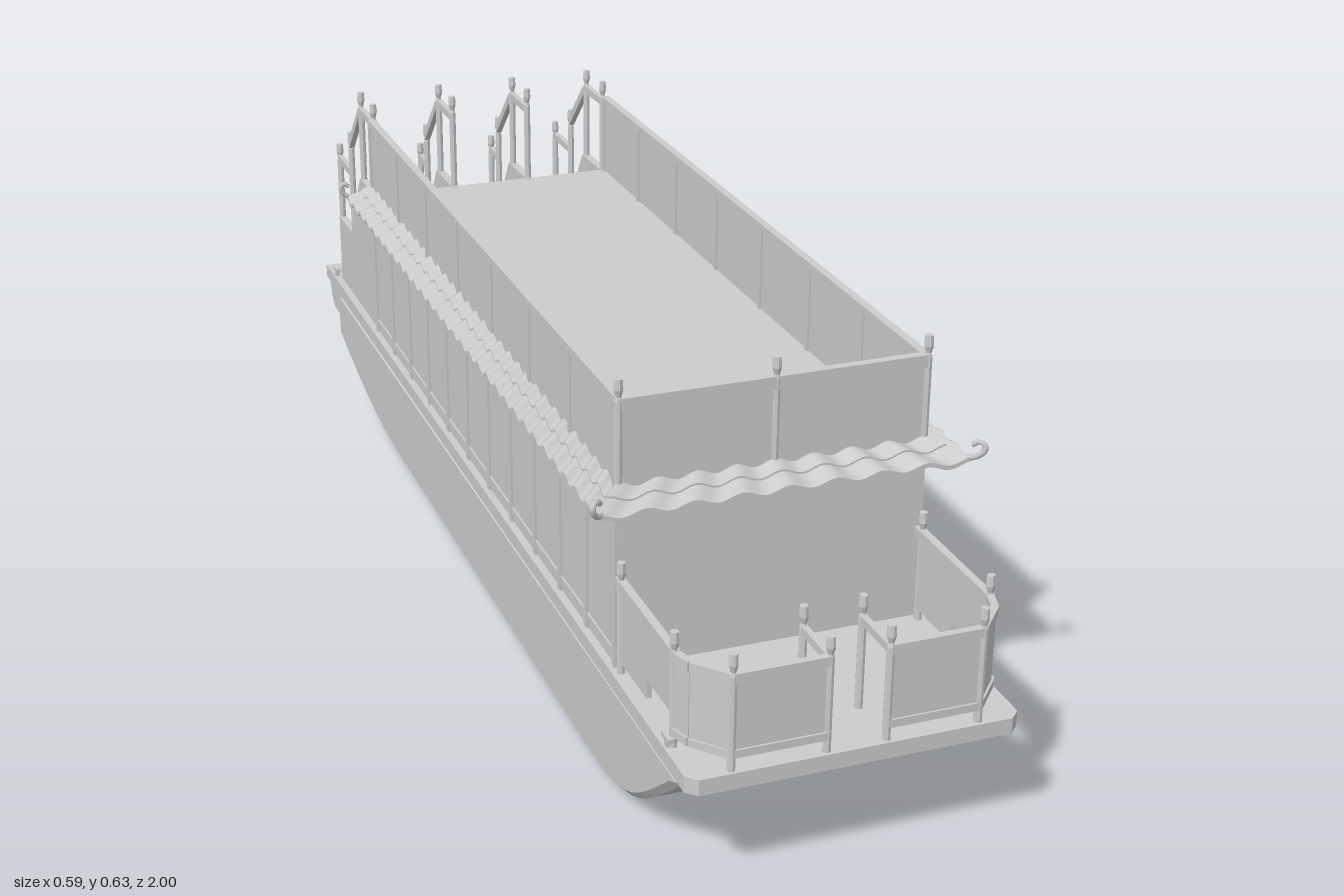
import * as THREE from 'three';

const flat = new THREE.MeshStandardMaterial({ color: 0xcccccc, flatShading: true });
const smooth = new THREE.MeshStandardMaterial({ color: 0xcccccc });

export function createModel() {
  const model = new THREE.Group();
  const add = (name, geo, mat = flat) => {
    const m = new THREE.Mesh(geo, mat);
    m.name = name;
    model.add(m);
    return m;
  };
  // box from its min and max corners
  const box = (name, x0, x1, y0, y1, z0, z1) =>
    add(name, new THREE.BoxGeometry(Math.abs(x1 - x0), y1 - y0, Math.abs(z1 - z0))
      .translate((x0 + x1) / 2, (y0 + y1) / 2, (z0 + z1) / 2));
  const shapeOf = pts => new THREE.Shape(pts.map(p => new THREE.Vector2(p[0], p[1])));
  // (z, y) profile extruded across x, centred on x = cx
  const side = (name, shape, cx, width, bevel = 0) =>
    add(name, new THREE.ExtrudeGeometry(shape, {
      depth: width - 2 * bevel, bevelEnabled: bevel > 0, bevelSize: bevel, bevelThickness: bevel,
      bevelOffset: -bevel, bevelSegments: 1, curveSegments: 10,
    }).rotateY(-Math.PI / 2).translate(cx + width / 2 - bevel, 0, 0));
  // square bar between two points
  const bar = (name, a, b, w, h) => {
    const A = new THREE.Vector3(...a), B = new THREE.Vector3(...b);
    const m = add(name, new THREE.BoxGeometry(w, h, A.distanceTo(B)));
    m.position.copy(A).add(B).multiplyScalar(0.5);
    m.lookAt(B);
    return m;
  };
  // post with a flared finial
  const post = (name, x, y0, y1, z) => {
    const h = y1 - y0;
    const pts = [[0, 0], [0.006, 0], [0.006, h - 0.032], [0.004, h - 0.026], [0.007, h - 0.016], [0.006, h], [0, h]];
    add(name, new THREE.LatheGeometry(pts.map(p => new THREE.Vector2(...p)), 8).translate(x, y0, z));
  };

  // hull with curved bow and rising stern
  const hull = new THREE.Shape();
  hull.moveTo(0.97, 0.168);
  hull.bezierCurveTo(0.86, 0.085, 0.8, 0.006, 0.66, 0.002);
  hull.lineTo(0.6, 0);
  hull.lineTo(-0.5, 0);
  hull.quadraticCurveTo(-0.7, 0.012, -0.9, 0.075);
  hull.lineTo(-0.905, 0.168);
  side('hull', hull, 0, 0.482, 0.01);
  const sternBlock = [[-0.88, 0.168], [-0.88, 0.085], [-0.9, 0.08], [-0.905, 0.12], [-0.945, 0.122], [-0.965, 0.14], [-0.975, 0.168]];
  for (const [x, w] of [[0, 0.16], [0.21, 0.06], [-0.21, 0.06]]) side('sternBlock', shapeOf(sternBlock), x, w);

  // deck slab with two notches at the stern (shape y is -z)
  const half = [[0.08, 1], [0.08, 0.905], [0.175, 0.905], [0.175, 1], [0.241, 1], [0.241, -0.985], [0.226, -1]];
  const outline = [...half, ...half.map(([x, y]) => [-x, y]).reverse()];
  add('deck', new THREE.ExtrudeGeometry(shapeOf(outline.reverse()), { depth: 0.024, bevelEnabled: false })
    .rotateX(-Math.PI / 2).translate(0, 0.166, 0));

  // cabin and upper deck parapet
  box('cabin', -0.229, 0.229, 0.188, 0.456, -0.63, 0.7);
  box('frontParapet', -0.229, 0.229, 0.455, 0.598, 0.692, 0.7);
  box('frontParapetRail', -0.23, 0.23, 0.58, 0.6, 0.69, 0.703);
  for (const x of [-0.228, 0, 0.228]) post('parapetPost', x, 0.455, 0.628, 0.698);

  const outerRail = [[-0.63, 0.59], [-0.725, 0.59], [-0.82, 0.495], [-0.82, 0.44], [-0.915, 0.44]];
  for (const s of [-1, 1]) {
    box('sideParapet', s * 0.222, s * 0.229, 0.455, 0.598, -0.63, 0.7);
    box('sideParapetRail', s * 0.219, s * 0.232, 0.588, 0.6, -0.63, 0.7);
    for (let i = 0; i <= 7; i++) {
      const z = -0.625 + i * 0.188;
      box('parapetBatten', s * 0.218, s * 0.233, 0.455, 0.595, z - 0.005, z + 0.005);
    }
    // framed wall panels
    for (let i = 0; i <= 11; i++) {
      const z = -0.622 + i * 0.1195;
      box('wallBatten', s * 0.228, s * 0.233, 0.19, 0.45, z - 0.006, z + 0.006);
    }
    box('wallSill', s * 0.228, s * 0.232, 0.205, 0.215, -0.63, 0.7);
    box('wallHeader', s * 0.228, s * 0.232, 0.415, 0.425, -0.63, 0.7);

    // stair side walls, posts and handrails
    for (const [x, zEnd] of [[0.221, -0.918], [0.072, -0.87]]) {
      side('stairWall', shapeOf([[-0.62, 0.19], [-0.62, 0.457], [-0.73, 0.457], [-0.82, 0.32], [zEnd, 0.32], [zEnd, 0.19]]), s * x, 0.014);
      for (const [z, y0, y1] of [[-0.633, 0.45, 0.628], [-0.725, 0.45, 0.625], [-0.82, 0.31, 0.52], [zEnd, 0.19, 0.468]])
        post('stairPost', s * x, y0, y1, z);
      const rail = outerRail.map(([z, y], i) => [s * x, y, i === 4 ? zEnd : z]);
      for (const i of [0, 1, 3]) bar('handrail', rail[i], rail[i + 1], 0.01, 0.013);
    }
    // stair treads
    const n = 8;
    for (let i = 0; i < n; i++) {
      const z = -0.64 - i * 0.03;
      box('stairStep', s * 0.075, s * 0.218, 0.188, 0.456 - (i + 0.5) * 0.03, z - 0.032, z + 0.012);
    }

    // fore deck rail: side panel, angled corner, front panel and gate return
    side('foreSidePanel', shapeOf([[0.71, 0.21], [0.71, 0.335], [0.91, 0.335], [0.91, 0.24], [0.82, 0.24], [0.82, 0.21]]), s * 0.227, 0.008);
    box('foreSideRail', s * 0.221, s * 0.233, 0.32, 0.335, 0.7, 0.915);
    const F = [s * 0.228, 0.912], C = [s * 0.218, 0.945], E = [s * 0.178, 0.99], G = [s * 0.043, 0.99], H = [s * 0.043, 0.905];
    for (const [a, b] of [[F, C], [C, E], [E, G]]) {
      bar('forePanel', [a[0], 0.272, a[1]], [b[0], 0.272, b[1]], 0.005, 0.105);
      bar('foreTopRail', [a[0], 0.327, a[1]], [b[0], 0.327, b[1]], 0.011, 0.014);
      bar('foreLowRail', [a[0], 0.215, a[1]], [b[0], 0.215, b[1]], 0.011, 0.012);
    }
    bar('gateRail', [G[0], 0.327, G[1]], [H[0], 0.327, H[1]], 0.009, 0.012);
    for (const p of [F, E, G, H]) post('forePost', p[0], 0.19, 0.362, p[1]);
    post('forePost', s * 0.228, 0.19, 0.362, 0.712);

    // mooring cleats
    for (const z of [0.91, -0.935]) {
      box('cleatStem', s * 0.231, s * 0.238, 0.188, 0.204, z - 0.004, z + 0.004);
      box('cleatBar', s * 0.23, s * 0.239, 0.2, 0.207, z - 0.013, z + 0.013);
    }
  }

  // hatches between the stairs
  for (const z of [-0.815, -0.71]) {
    const h = shapeOf([[-0.035, -0.04], [0.035, -0.04], [0.05, -0.025], [0.05, 0.025], [0.035, 0.04], [-0.035, 0.04], [-0.05, 0.025], [-0.05, -0.025]]);
    add('hatch', new THREE.ExtrudeGeometry(h, { depth: 0.012, bevelEnabled: true, bevelSize: 0.004, bevelThickness: 0.004, bevelSegments: 1 })
      .rotateX(-Math.PI / 2).translate(0, 0.19, z));
  }

  // rippled tile eave: place(u, t) gives x, z for u along and t outward
  const eave = (name, waves, place) => {
    for (let row = 0; row < 2; row++) {
      const g = new THREE.BoxGeometry(1, 1, 1, waves * 8, 1, 2);
      const p = g.attributes.position;
      for (let i = 0; i < p.count; i++) {
        const u = p.getX(i) + 0.5, t = (row + p.getZ(i) + 0.5) / 2;
        const [x, z] = place(u, t);
        const y = 0.47 - 0.014 * t - 0.003 * row + 0.0045 * Math.cos(u * waves * 2 * Math.PI) + p.getY(i) * 0.007;
        p.setXYZ(i, x, y, z);
      }
      g.computeVertexNormals();
      add(name, g, smooth);
    }
  };
  eave('frontEave', 8, (u, t) => [(u * 2 - 1) * (0.224 + 0.053 * t), 0.695 + 0.06 * t]);
  eave('leftEave', 30, (u, t) => [0.224 + 0.053 * t, 0.695 + 0.06 * t - u * (1.322 + 0.06 * t)]);
  eave('rightEave', 30, (u, t) => [-0.224 - 0.053 * t, -0.627 + u * (1.322 + 0.06 * t)]);

  // curled ridge ends at the eave corners
  for (const s of [-1, 1]) {
    for (const [z, dz] of [[0.695, 1], [-0.627, 0]]) {
      const path = [[0.226, 0.475, 0], [0.25, 0.463, 0.03], [0.27, 0.458, 0.055], [0.284, 0.466, 0.068], [0.289, 0.478, 0.072], [0.282, 0.485, 0.066], [0.274, 0.479, 0.06]];
      const curve = new THREE.CatmullRomCurve3(path.map(([x, y, d]) => new THREE.Vector3(s * x, y, z + d * dz)));
      add('eaveCurl', new THREE.TubeGeometry(curve, 24, 0.0045, 6), smooth);
    }
  }
  return model;
}
